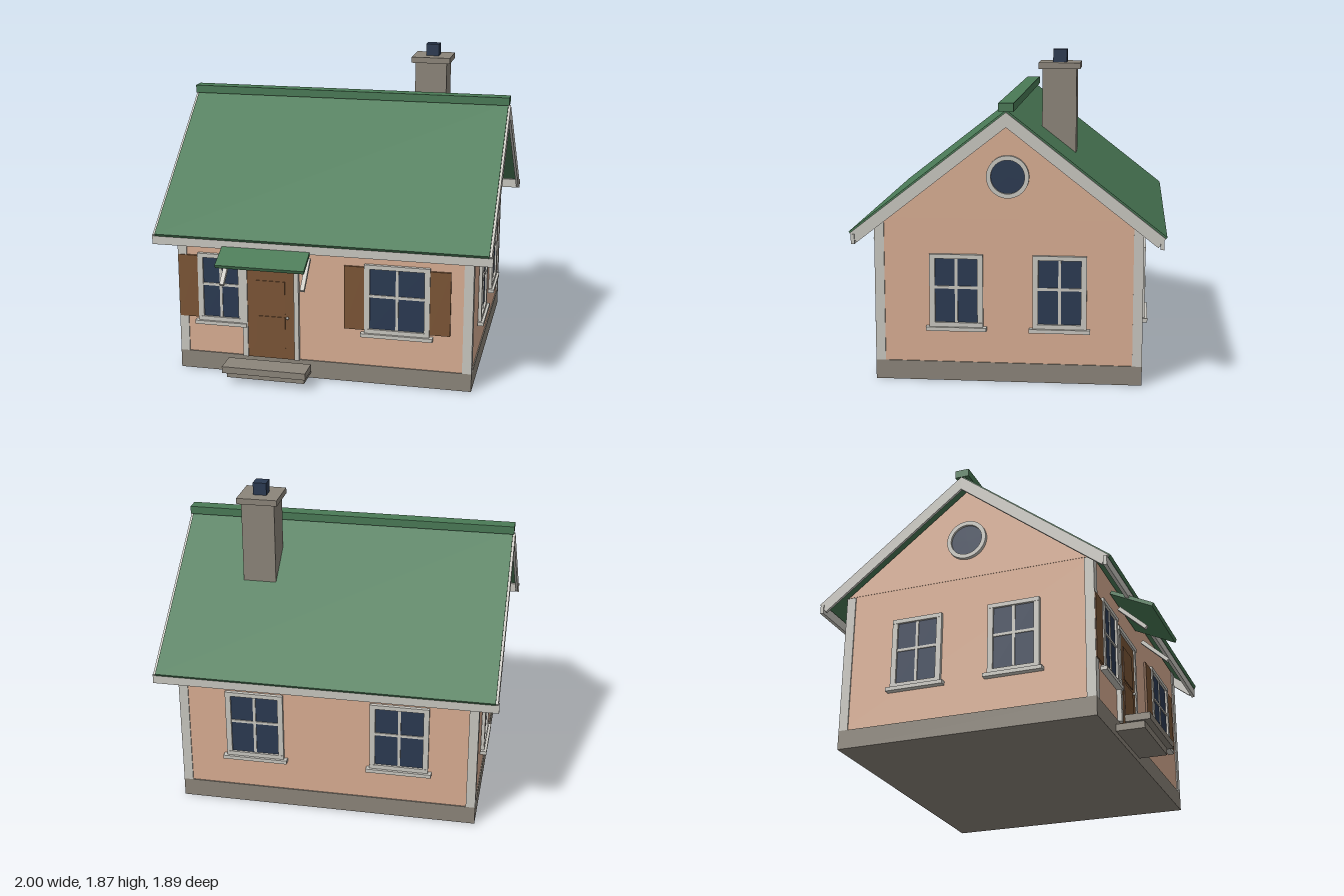
import * as THREE from 'three';

const mat = (name, color) => Object.assign(new THREE.MeshStandardMaterial({ color }), { name });

export function createModel() {
  const wall = mat('peach wall', 0xd9ae93);
  const green = mat('green roof', 0x4a7a56);
  const trim = mat('pale trim', 0xc9c7c0);
  const stone = mat('grey stone', 0x8c857a);
  const brown = mat('brown wood', 0x7b5536);
  const navy = mat('dark glass', 0x2b3a52);
  const house = new THREE.Group();
  house.name = 'house';
  const MID = -0.06; // ridge line in z

  const add = (name, geo, material, parent = house) => {
    const m = new THREE.Mesh(geo, material);
    m.name = name;
    parent.add(m);
    return m;
  };
  // Box given by its limits on each axis
  const box = (name, material, x0, x1, y0, y1, z0, z1, parent = house) => {
    const m = add(name, new THREE.BoxGeometry(x1 - x0, y1 - y0, z1 - z0), material, parent);
    m.position.set((x0 + x1) / 2, (y0 + y1) / 2, (z0 + z1) / 2);
    return m;
  };
  // Gable-shaped outline in z and y, extruded along x
  const alongX = (name, material, pts, x0, x1) => {
    const shape = new THREE.Shape(pts.map(p => new THREE.Vector2(...p)));
    const geo = new THREE.ExtrudeGeometry(shape, { depth: x1 - x0, bevelEnabled: false });
    geo.rotateY(Math.PI / 2).translate(x0, 0, MID);
    return add(name, geo, material);
  };
  // Inverted V with constant thickness
  const slope = 0.78, a = Math.atan(slope);
  const chevron = (name, material, top, half, t, x0, x1) => {
    const ey = top - slope * half;
    const ix = half - t * Math.sin(a), iy = ey - t * Math.cos(a);
    return alongX(name, material,
      [[0, top], [-half, ey], [-ix, iy], [0, top - t / Math.cos(a)], [ix, iy], [half, ey]], x0, x1);
  };

  // Body
  box('foundation', stone, -0.885, 0.885, 0, 0.11, MID - 0.76, MID + 0.76);
  box('walls', wall, -0.878, 0.878, 0.11, 0.945, MID - 0.753, MID + 0.753);
  alongX('gable', wall, [[-0.753, 0.945], [0.753, 0.945], [0, 1.53]], -0.88, 0.88);
  for (const sx of [-1, 1]) for (const sz of [-1, 1]) {
    const post = box('cornerPost', trim, -0.0275, 0.0275, 0.11, 0.94, -0.0275, 0.0275);
    post.position.x = sx * 0.8575;
    post.position.z = MID + sz * 0.7325;
  }

  // Roof
  chevron('roof', green, 1.567, 0.885, 0.02, -0.98, 0.98);
  chevron('rakeBoard', trim, 1.555, 0.877, 0.065, 0.978, 0.994);
  chevron('rakeBoard', trim, 1.555, 0.877, 0.065, -0.994, -0.978);
  box('ridgeCap', green, -0.988, 0.988, 1.558, 1.605, MID - 0.042, MID + 0.042);
  for (const s of [-1, 1]) {
    const fascia = box('eaveFascia', trim, -1, 1, 0.81, 0.866, -0.01, 0.01);
    fascia.position.z = MID + s * 0.859;
  }

  // Chimney
  const stack = (name, m, half, y0, y1) =>
    box(name, m, 0.477 - half, 0.477 + half, y0, y1, -0.327 - half, -0.327 + half);
  stack('chimney', stone, 0.098, 1.2, 1.765);
  stack('chimneyCap', stone, 0.12, 1.765, 1.8);
  stack('chimneyFlue', navy, 0.04, 1.8, 1.873);

  // One group per wall, facing local +z with its plane at z = 0
  const side = (name, x, z, ry) => {
    const g = new THREE.Group();
    g.name = name;
    g.position.set(x, 0, z);
    g.rotation.y = ry;
    house.add(g);
    return g;
  };
  const front = side('frontWall', 0, MID + 0.753, 0);
  const back = side('backWall', 0, MID - 0.753, Math.PI);
  const ends = [side('leftWall', 0.88, MID, Math.PI / 2), side('rightWall', -0.88, MID, -Math.PI / 2)];

  // Window with frame, cross bars, sill and optional shutters
  const windowAt = (parent, cx, w, shutters) => {
    const g = new THREE.Group();
    g.name = 'window';
    g.position.x = cx;
    parent.add(g);
    const h = w / 2, y0 = 0.32, y1 = 0.74, f = 0.032;
    box('glass', navy, -h + f, h - f, y0 + 0.02, y1 - 0.02, 0, 0.008, g);
    for (const s of [-1, 1]) {
      const jamb = box('frameSide', trim, -f / 2, f / 2, y0, y1, 0, 0.02, g);
      jamb.position.x = s * (h - f / 2);
    }
    box('frameTop', trim, -h, h, y1 - 0.025, y1, 0, 0.022, g);
    box('frameBottom', trim, -h, h, y0, y0 + 0.025, 0, 0.022, g);
    box('verticalBar', trim, -0.008, 0.008, y0, y1, 0, 0.014, g);
    box('crossBar', trim, -h + f, h - f, 0.54, 0.556, 0, 0.014, g);
    box('sill', trim, -h - 0.02, h + 0.02, 0.298, 0.32, 0, 0.037, g);
    if (shutters) for (const s of [-1, 1]) {
      const sh = box('shutter', brown, -0.06, 0.06, 0.335, 0.722, 0, 0.013, g);
      sh.position.x = s * (h + 0.06);
    }
  };
  windowAt(front, -0.62, 0.28, true);
  windowAt(front, 0.443, 0.385, true);
  for (const s of [-1, 1]) {
    windowAt(back, s * 0.43, 0.345, false);
    for (const e of ends) windowAt(e, s * 0.293, 0.305, false);
  }

  // Round gable windows
  for (const e of ends) {
    const ring = new THREE.Shape().absarc(0, 0, 0.12, 0, Math.PI * 2);
    ring.holes.push(new THREE.Path().absarc(0, 0, 0.095, 0, Math.PI * 2, true));
    const geo = new THREE.ExtrudeGeometry(ring, { depth: 0.022, bevelEnabled: false, curveSegments: 32 });
    add('roundFrame', geo, trim, e).position.y = 1.185;
    const pane = add('roundGlass', new THREE.CylinderGeometry(0.097, 0.097, 0.008, 32), navy, e);
    pane.rotation.x = Math.PI / 2;
    pane.position.set(0, 1.185, 0.004);
  }

  // Door
  box('door', brown, -0.457, -0.168, 0.11, 0.668, 0, 0.018, front);
  box('doorPanel', brown, -0.4, -0.225, 0.395, 0.597, 0.018, 0.023, front);
  box('doorPanel', brown, -0.4, -0.225, 0.178, 0.375, 0.018, 0.023, front);
  box('doorJamb', trim, -0.485, -0.455, 0.11, 0.668, 0, 0.026, front);
  box('doorJamb', trim, -0.17, -0.142, 0.11, 0.668, 0, 0.026, front);
  box('doorHead', trim, -0.492, -0.138, 0.665, 0.692, 0, 0.03, front);
  add('doorKnob', new THREE.SphereGeometry(0.009, 12, 8), trim, front).position.set(-0.21, 0.375, 0.027);

  // Canopy and its struts
  const canopy = add('canopy', new THREE.BoxGeometry(0.525, 0.022, 0.27), green);
  canopy.position.set(-0.312, 0.805, 0.823);
  canopy.rotation.x = 0.455;
  for (const x of [-0.552, -0.072]) {
    const strut = add('canopyStrut', new THREE.BoxGeometry(0.025, 0.022, 0.21), trim);
    strut.position.set(x, 0.69, 0.82);
    strut.rotation.x = 0.75;
  }

  // Steps
  box('upperStep', stone, -0.565, -0.06, 0.07, 0.11, 0.757, 0.9);
  box('lowerStep', stone, -0.547, -0.075, 0.03, 0.07, 0.69, 0.863);

  return house;
}
